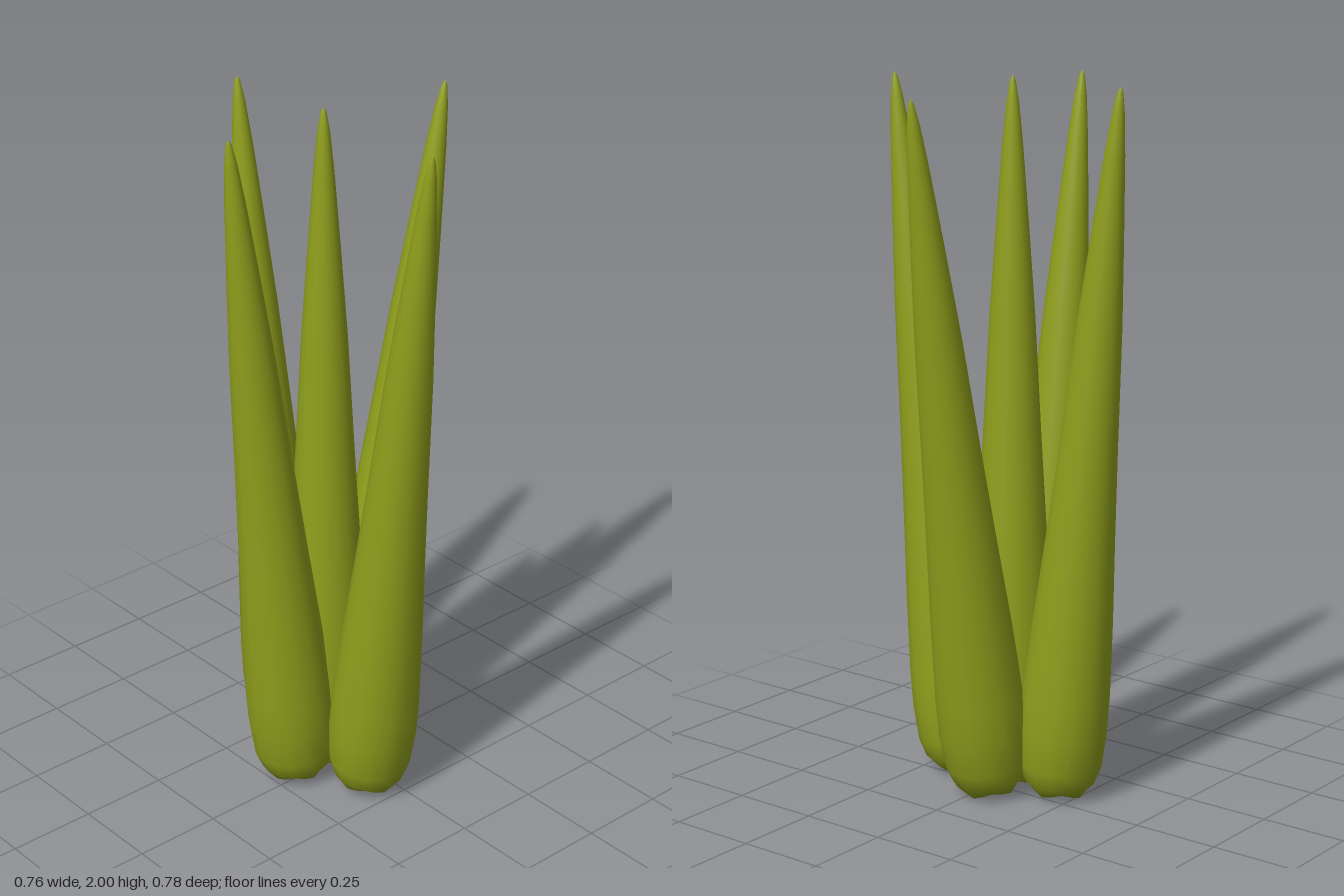
import * as THREE from 'three';

// Tapered leaf: dimpled underside, scalloped rim, swollen base, long point
function leafGeometry() {
  const profile = [
    [0, 0.045], [0.035, 0.04], [0.075, 0.02], [0.1, 0.048], [0.117, 0.1],
    [0.124, 0.2], [0.123, 0.3], [0.112, 0.52], [0.097, 0.75], [0.082, 1.0],
    [0.063, 1.35], [0.045, 1.6], [0.028, 1.82], [0.017, 1.93], [0.008, 1.985], [0, 2.0],
  ].map(([r, y]) => new THREE.Vector2(r, y));
  const geo = new THREE.LatheGeometry(profile, 16);
  const pos = geo.attributes.position;
  for (let i = 0; i < pos.count; i++) {
    const x = pos.getX(i), y = pos.getY(i), z = pos.getZ(i);
    const r = Math.hypot(x, z);
    if (y < 0.03 && r > 0.05) pos.setY(i, y - 0.008 * Math.cos(4 * Math.atan2(z, x)));
  }
  return geo;
}

export function createModel() {
  const group = new THREE.Group();
  const geo = leafGeometry();
  const material = new THREE.MeshStandardMaterial({ color: 0x8f9f1c, side: THREE.DoubleSide });

  // name, base x, base z, lean toward +x, lean toward +z
  const leaves = [
    ['centreLeaf', -0.055, -0.027, 0, 0],
    ['leftLeaf', 0.043, -0.027, 0.166, 0],
    ['rightLeaf', -0.165, -0.027, -0.103, 0],
    ['frontLeaf', -0.055, 0.15, 0, 0.118],
    ['backLeaf', -0.055, -0.19, 0, -0.095],
  ];
  for (const [name, x, z, leanX, leanZ] of leaves) {
    const leaf = new THREE.Mesh(geo, material);
    leaf.name = name;
    leaf.position.set(x, 0, z);
    leaf.rotation.set(leanZ, 0, -leanX);
    group.add(leaf);
  }
  return group;
}
